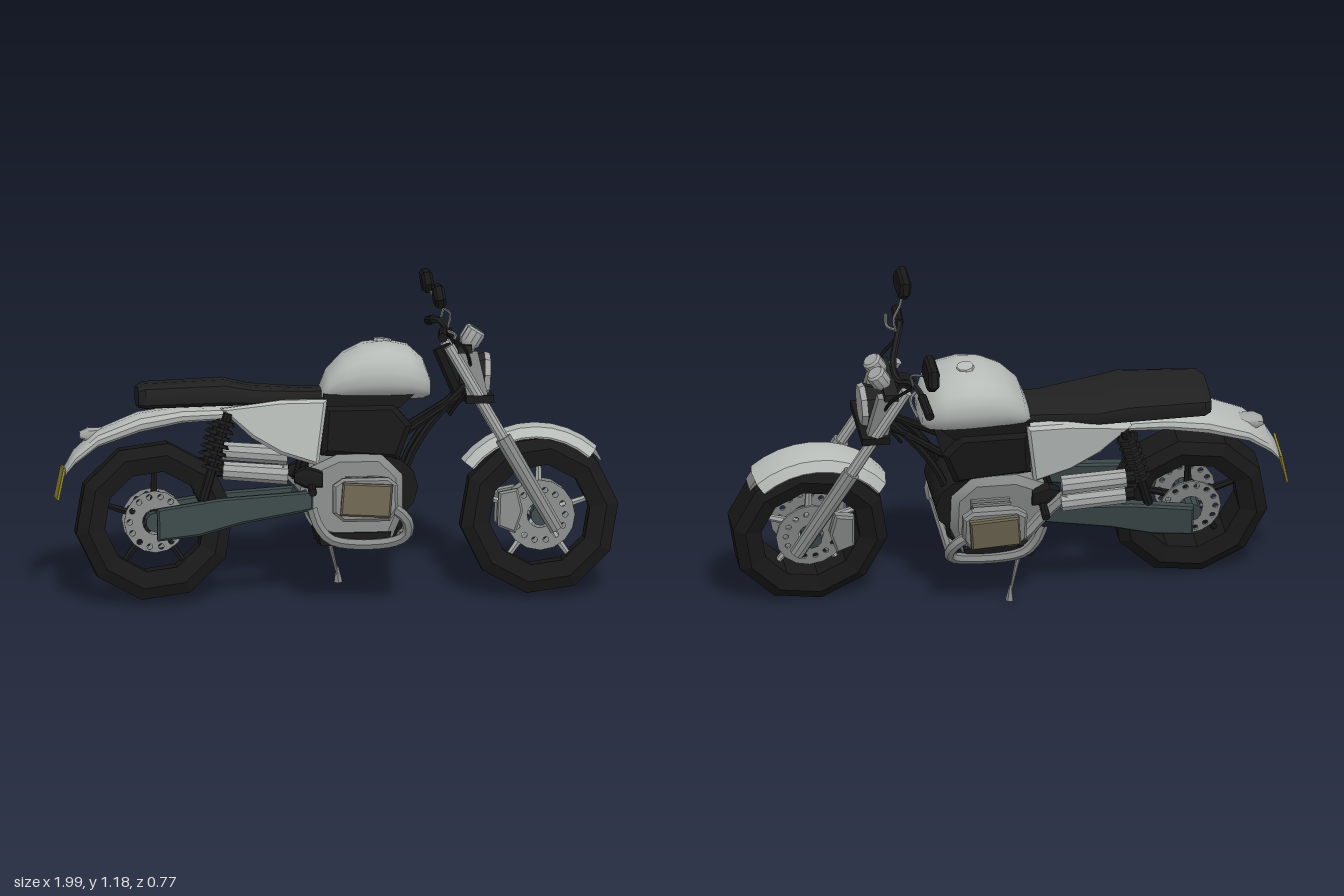
import * as THREE from 'three';
import { toCreasedNormals, mergeGeometries } from 'three/addons/utils/BufferGeometryUtils.js';

const mat = (name, color) => Object.assign(new THREE.MeshStandardMaterial({ color }), { name });
const V = (p) => new THREE.Vector3(...p);

// Lofted body along x; each station is [x, bottom, top, halfWidth]
function loft(stations, n = 14, power = 0.7) {
  const pos = [], idx = [], f = (v) => Math.sign(v) * Math.abs(v) ** power;
  for (const [x, b, t, w] of stations) {
    for (let j = 0; j < n; j++) {
      const a = (j / n) * Math.PI * 2;
      pos.push(x, (b + t) / 2 + f(Math.sin(a)) * (t - b) / 2, f(Math.cos(a)) * w);
    }
  }
  const last = stations.length - 1, c0 = pos.length / 3;
  for (const k of [0, last]) pos.push(stations[k][0], (stations[k][1] + stations[k][2]) / 2, 0);
  for (let j = 0; j < n; j++) {
    const k = (j + 1) % n;
    for (let i = 0; i < last; i++) {
      const a = i * n + j, b = a + n, c = (i + 1) * n + k, d = i * n + k;
      idx.push(a, b, c, a, c, d);
    }
    idx.push(c0, j, k, c0 + 1, last * n + k, last * n + j);
  }
  const g = new THREE.BufferGeometry();
  g.setAttribute('position', new THREE.Float32BufferAttribute(pos, 3));
  g.setIndex(idx);
  return g;
}

// Side outline extruded symmetrically across z
function slab(points, depth, bevel = 0) {
  const shape = new THREE.Shape(points.map((p) => new THREE.Vector2(...p)));
  return new THREE.ExtrudeGeometry(shape, {
    depth: depth - 2 * bevel, bevelEnabled: bevel > 0, bevelSize: bevel, bevelThickness: bevel, bevelSegments: 1,
  }).translate(0, 0, bevel - depth / 2);
}

// Round bar between two points
function bar(a, b, r, r2 = r, sides = 8) {
  const A = V(a), B = V(b), d = B.clone().sub(A);
  const g = new THREE.CylinderGeometry(r2, r, d.length(), sides);
  g.applyQuaternion(new THREE.Quaternion().setFromUnitVectors(V([0, 1, 0]), d.normalize()));
  const m = A.add(B).multiplyScalar(0.5);
  return g.translate(m.x, m.y, m.z);
}

const box = (w, h, d, x, y, z) => new THREE.BoxGeometry(w, h, d).translate(x, y, z);
const tube = (pts, r, seg = 14) => new THREE.TubeGeometry(new THREE.CatmullRomCurve3(pts.map(V)), seg, r, 6);
// Ring section [radius, z] revolved about the z axis, angles counter-clockwise from +x
const revolve = (prof, seg, from = 0, sweep = Math.PI * 2) =>
  new THREE.LatheGeometry(prof.map((p) => new THREE.Vector2(...p)), seg, from + Math.PI / 2, sweep).rotateX(Math.PI / 2);

export function createModel() {
  const black = mat('rubber black', 0x181818), dark = mat('seat black', 0x202020);
  const paint = mat('painted grey', 0xb6bbb8), steel = mat('steel', 0x868888);
  const chrome = mat('bright metal', 0xa2a5a4), teal = mat('swingarm slate', 0x3a4646);
  const bronze = mat('cover bronze', 0x6b6350), yellow = mat('plate yellow', 0x928732);

  const model = new THREE.Group();
  model.name = 'motorcycle';
  const bike = new THREE.Group();
  bike.name = 'leaningBike';
  bike.rotation.x = -0.2;
  bike.position.set(0, 0.015, 0.185);
  model.add(bike);
  const add = (name, geo, material, crease = 0.6) => {
    const m = new THREE.Mesh(toCreasedNormals(geo, crease), material);
    m.name = name;
    bike.add(m);
    return m;
  };

  // Wheels: chunky tyre, drilled discs, spokes and hub
  const wheels = [['front', 0.715, 0.27, 0.125, chrome], ['rear', -0.65, 0.275, 0.11, black]];
  for (const [end, x, y, disc, spokeMat] of wheels) {
    const tyre = [[0.18, -0.06], [0.24, -0.08], [0.282, -0.055], [0.282, 0.055], [0.24, 0.08], [0.18, 0.06], [0.18, -0.06]];
    add(end + 'Tyre', revolve(tyre, 10, 0.13).translate(x, y, 0), black, 0.1);
    const spokes = [];
    for (let i = 0; i < 5; i++) {
      const a = (i / 5) * Math.PI * 2 + 0.3, c = Math.cos(a), s = Math.sin(a);
      spokes.push(bar([x + c * 0.03, y + s * 0.03, 0], [x + c * 0.19, y + s * 0.19, 0], 0.016, 0.01, 6));
    }
    add(end + 'Spokes', mergeGeometries(spokes), spokeMat);
    add(end + 'Hub', bar([x, y, -0.1], [x, y, 0.1], 0.035, 0.035, 10), teal);
    for (const s of [-1, 1]) {
      const ring = new THREE.Shape().absarc(0, 0, disc, 0, Math.PI * 2);
      ring.holes.push(new THREE.Path().absarc(0, 0, 0.045, 0, Math.PI * 2, true));
      for (let i = 0; i < 14; i++) {
        const a = (i / 14) * Math.PI * 2;
        ring.holes.push(new THREE.Path().absarc(Math.cos(a) * 0.09, Math.sin(a) * 0.09, 0.01, 0, Math.PI * 2, true));
      }
      const g = new THREE.ExtrudeGeometry(ring, { depth: 0.008, bevelEnabled: false, curveSegments: 8 });
      add(end + 'BrakeDisc', g.translate(x, y, s * 0.062 - 0.004), steel);
    }
  }

  // Mudguards
  const guard = [[0.285, -0.085], [0.318, -0.06], [0.33, 0], [0.318, 0.06], [0.285, 0.085], [0.278, 0.081], [0.31, 0.055], [0.322, 0], [0.31, -0.055], [0.278, -0.081], [0.285, -0.085]];
  add('frontMudguard', revolve(guard, 9, 0.82, 1.65).translate(0.7, 0.265, 0), paint);
  add('frontMudguardTip', slab([[0.9, 0.495], [0.935, 0.455], [0.938, 0.462], [0.915, 0.505]], 0.07), steel);
  add('rearMudguard', loft([[-0.965, 0.44, 0.47, 0.06], [-0.93, 0.48, 0.53, 0.075], [-0.85, 0.54, 0.6, 0.09],
    [-0.7, 0.59, 0.66, 0.1], [-0.55, 0.62, 0.68, 0.1], [-0.38, 0.63, 0.68, 0.1]]), paint);
  add('tailLight', loft([[-0.91, 0.57, 0.595, 0.022], [-0.88, 0.56, 0.61, 0.035], [-0.82, 0.58, 0.61, 0.03]]), chrome);
  add('numberPlate', box(0.008, 0.115, 0.15, 0, 0, 0).rotateZ(-0.22).translate(-0.982, 0.415, 0), yellow);

  // Tank, seat and side panels
  add('fuelTank', loft([[-0.055, 0.69, 0.74, 0.085], [-0.03, 0.69, 0.8, 0.12], [0.03, 0.69, 0.86, 0.14], [0.1, 0.69, 0.893, 0.155],
    [0.18, 0.69, 0.9, 0.161], [0.26, 0.69, 0.882, 0.153], [0.31, 0.69, 0.835, 0.125], [0.333, 0.7, 0.77, 0.085]], 18, 0.8), paint, 1);
  add('fuelCap', bar([0.17, 0.887, 0], [0.172, 0.905, 0], 0.034, 0.03, 8), paint);
  add('seat', loft([[-0.705, 0.68, 0.752, 0.095], [-0.68, 0.675, 0.766, 0.115], [-0.4, 0.68, 0.775, 0.13], [-0.3, 0.68, 0.752, 0.125],
    [-0.12, 0.685, 0.738, 0.09], [0, 0.685, 0.738, 0.08]], 14, 0.55), dark);
  for (const s of [-1, 1]) {
    add('sidePanel', slab([[-0.4, 0.67], [-0.3, 0.58], [-0.2, 0.52], [-0.08, 0.48], [-0.05, 0.69], [-0.2, 0.69]], 0.05, 0.012)
      .translate(0, 0, s * 0.1), paint);
  }

  // Black air box, battery boxes and frame tubes
  add('tankRail', slab([[-0.05, 0.655], [0.22, 0.665], [0.28, 0.72], [-0.05, 0.72]], 0.22), black);
  add('airBox', slab([[-0.04, 0.52], [0.2, 0.5], [0.24, 0.6], [0.19, 0.66], [-0.03, 0.66]], 0.25, 0.02), black);
  for (const s of [-1, 1]) {
    add('downTube', tube([[0.47, 0.74, s * 0.03], [0.33, 0.6, s * 0.06], [0.24, 0.45, s * 0.08], [0.2, 0.22, s * 0.09], [-0.08, 0.2, s * 0.09]], 0.014), black);
    add('upperTube', bar([0.48, 0.72, s * 0.03], [0.15, 0.52, s * 0.09], 0.014), black);
    add('rearTube', bar([-0.05, 0.69, s * 0.09], [-0.14, 0.4, s * 0.09], 0.014), black);
  }

  // Engine with sideways cylinders
  add('crankcase', slab([[-0.12, 0.36], [-0.05, 0.24], [0.04, 0.21], [0.16, 0.21], [0.2, 0.3], [0.2, 0.42], [0.14, 0.48], [0, 0.48], [-0.09, 0.44]], 0.29, 0.025), steel);
  add('frontEngineCover', bar([0.17, 0.385, -0.12], [0.17, 0.385, 0.12], 0.11, 0.11, 12), black);
  add('sump', slab([[-0.07, 0.185], [0.17, 0.185], [0.18, 0.23], [-0.08, 0.23]], 0.33), black);
  for (const s of [-1, 1]) {
    add('cylinder', box(0.12, 0.11, 0.1, 0.09, 0.36, s * 0.17), steel);
    for (let i = 0; i < 3; i++) add('coolingFin', box(0.14, 0.14, 0.01, 0.09, 0.358, s * (0.15 + i * 0.025)), steel);
    add('cylinderHead', slab([[-0.02, 0.31], [0.01, 0.285], [0.165, 0.285], [0.19, 0.32], [0.19, 0.4], [0.165, 0.42], [0.01, 0.42], [-0.02, 0.4]], 0.045, 0.01).translate(0, 0, s * 0.218), steel);
    add('cylinderCover', slab([[0, 0.305], [0.165, 0.295], [0.175, 0.4], [0.01, 0.41]], 0.026, 0.006).translate(0, 0, s * 0.25), bronze);
    add('crashBar', tube([[-0.1, 0.32, s * 0.17], [-0.08, 0.26, s * 0.17], [-0.03, 0.205, s * 0.17], [0.18, 0.195, s * 0.17],
      [0.235, 0.225, s * 0.19], [0.23, 0.28, s * 0.215], [0.17, 0.33, s * 0.22]], 0.02, 20), steel);
    add('footPeg', bar([-0.1, 0.4, s * 0.13], [-0.1, 0.38, s * 0.22], 0.015), black);
    add('carburettor', loft([[-0.16, 0.41, 0.45, 0.02], [-0.12, 0.39, 0.47, 0.03], [-0.06, 0.39, 0.45, 0.03]], 8).translate(0, 0, s * 0.14), black);
  }
  add('crashBarFront', bar([0.225, 0.215, -0.18], [0.225, 0.215, 0.18], 0.02), steel);

  // Twin silencers on one side, with header pipe
  for (const y of [0.42, 0.49]) {
    add('silencer', bar([-0.16, y - 0.01, -0.17], [-0.39, y + 0.01, -0.18], 0.036, 0.034, 10), chrome);
    add('silencerTip', bar([-0.38, y + 0.01, -0.18], [-0.42, y + 0.012, -0.18], 0.025), black);
  }
  add('headerPipe', tube([[0.08, 0.3, -0.2], [-0.02, 0.29, -0.19], [-0.1, 0.36, -0.17], [-0.18, 0.44, -0.17]], 0.022), steel);

  // Swingarm and sprung shock absorbers
  for (const s of [-1, 1]) {
    add('swingarm', slab([[-0.64, 0.22], [-0.5, 0.235], [-0.35, 0.275], [-0.1, 0.318], [-0.1, 0.372], [-0.42, 0.352], [-0.64, 0.32]], 0.04, 0.008).translate(0, 0, s * 0.13), teal);
    const low = [-0.485, 0.35, s * 0.13], top = [-0.39, 0.66, s * 0.12];
    add('shock', bar(low, top, 0.017), black);
    const coils = [];
    for (let i = 0; i < 7; i++) {
      const a = V(low).lerp(V(top), 0.36 + i * 0.085), b = V(low).lerp(V(top), 0.4 + i * 0.085);
      coils.push(bar(a.toArray(), b.toArray(), 0.04, 0.032));
    }
    add('shockSpring', mergeGeometries(coils), black);
  }
  add('swingarmPivot', bar([-0.12, 0.35, -0.14], [-0.12, 0.35, 0.14], 0.035), teal);

  // Side stand
  add('sideStand', bar([-0.03, 0.22, -0.14], [0.015, 0.04, -0.195], 0.01, 0.005), steel);
  add('sideStandFoot', bar([0.015, 0.023, -0.2], [0.012, 0.08, -0.19], 0.016, 0.004, 5), steel);

  // Fork, calipers, clamps and headlight
  const forkX = (y) => 0.755 - 0.565 * (y - 0.25);
  for (const s of [-1, 1]) {
    add('forkLower', bar([forkX(0.22), 0.22, s * 0.105], [forkX(0.55), 0.55, s * 0.105], 0.026, 0.031, 10), steel);
    add('forkUpper', bar([forkX(0.54), 0.54, s * 0.105], [forkX(0.88), 0.88, s * 0.1], 0.021, 0.021, 10), chrome);
    add('brakeCaliper', slab([[0.57, 0.24], [0.62, 0.22], [0.645, 0.29], [0.63, 0.36], [0.575, 0.35]], 0.04, 0.008).translate(0, 0, s * 0.085), steel);
    add('headlightBracket', slab([[0.46, 0.7], [0.535, 0.7], [0.5, 0.86], [0.43, 0.86]], 0.035).translate(0, 0, s * 0.09), steel);
    add('instrument', loft([[-0.035, -0.022, 0.022, 0.022], [-0.015, -0.036, 0.036, 0.036], [0.03, -0.036, 0.036, 0.036], [0.038, -0.028, 0.028, 0.028]], 10, 1)
      .rotateZ(1).translate(0.485, 0.9, s * 0.042), chrome);
  }
  add('lowerClamp', box(0.1, 0.028, 0.25, 0.505, 0.69, 0), black);
  add('upperClamp', box(0.05, 0.028, 0.24, 0.455, 0.868, 0), dark);
  add('steeringHead', bar([0.46, 0.68, 0], [0.38, 0.87, 0], 0.035), black);
  add('headlightShell', bar([0.44, 0.775, 0], [0.528, 0.77, 0], 0.05, 0.078, 8), dark);
  add('headlightLens', bar([0.528, 0.77, 0], [0.548, 0.769, 0], 0.08, 0.074, 8), chrome);

  // Handlebar, grips, levers, cables and mirrors
  add('handlebar', tube([[0.36, 0.935, -0.33], [0.37, 0.945, -0.22], [0.39, 0.948, -0.15], [0.42, 0.9, -0.06],
    [0.42, 0.895, 0.06], [0.39, 0.948, 0.15], [0.37, 0.945, 0.22], [0.36, 0.935, 0.33]], 0.012, 28), dark);
  for (const s of [-1, 1]) {
    add('grip', bar([0.36, 0.932, s * 0.345], [0.369, 0.945, s * 0.235], 0.017), black);
    add('lever', tube([[0.38, 0.945, s * 0.19], [0.41, 0.935, s * 0.23], [0.4, 0.92, s * 0.33]], 0.006, 8), steel);
    add('controlCable', tube([[0.39, 0.935, s * 0.16], [0.46, 0.86, s * 0.13], [0.47, 0.74, s * 0.07], [0.4, 0.63, s * 0.05]], 0.006), black);
    add('mirrorStem', tube([[0.39, 0.95, s * 0.17], [0.4, 1.0, s * 0.18], [0.37, 1.03, s * 0.225], [0.355, 1.07, s * 0.265]], 0.005), steel);
    const head = slab([[-0.064, -0.008], [-0.045, -0.03], [0.045, -0.028], [0.064, -0.004], [0.058, 0.028], [-0.04, 0.03]], 0.04, 0.01);
    if (s < 0) head.rotateY(Math.PI);
    add('mirror', head.rotateY(Math.PI / 2).rotateZ(0.12).translate(0.352, 1.077, s * 0.292), black);
  }
  return model;
}
